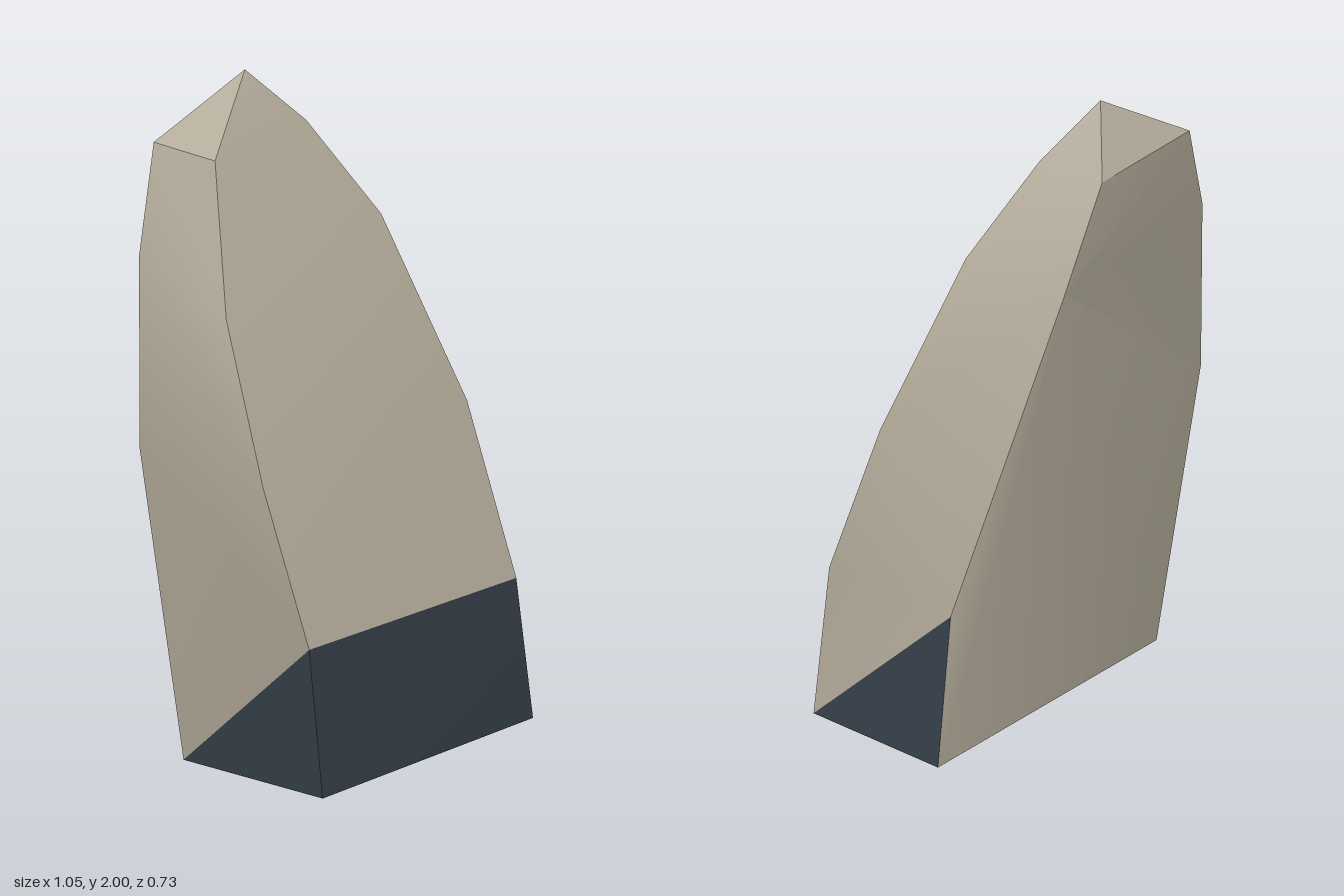
import * as THREE from 'three';
import { toCreasedNormals } from 'three/addons/utils/BufferGeometryUtils.js';

// Corner points: bottom corners, front rim on each side, back rim on each side, tip
const P = {
  baseFL: [0.50, 0, 0.355], baseFR: [-0.44, 0, 0.36],
  baseBL: [0.525, 0, -0.12], baseBR: [-0.44, 0, -0.17],
  // front rim, -x side, upwards
  r1: [-0.50, 0.47, 0.36], r2: [-0.53, 0.94, 0.21], r3: [-0.46, 1.39, 0.01], r4: [-0.335, 1.81, -0.14],
  // front rim, +x side, upwards
  l1: [0.42, 0.45, 0.36], l2: [0.40, 0.96, 0.19], l3: [0.24, 1.53, 0.0], l4: [0.07, 1.83, -0.14],
  // back rim, -x side, upwards
  br2: [-0.495, 0.94, -0.29], br3: [-0.457, 1.51, -0.325], br4: [-0.345, 1.82, -0.365],
  // back rim, +x side, upwards
  bl1: [0.51, 0.51, -0.155], bl3: [0.23, 1.53, -0.355], bl4: [0.06, 1.83, -0.36],
  tip: [-0.08, 2.0, -0.245],
};
const inside = new THREE.Vector3(0, 0.8, 0);

// Faces are space-separated corner names; each is fanned and turned outward
function facets(name, material, faces) {
  const positions = [];
  for (const face of faces) {
    const pts = face.split(' ').map((key) => new THREE.Vector3(...P[key]));
    for (let i = 1; i < pts.length - 1; i++) {
      const tri = new THREE.Triangle(pts[0], pts[i], pts[i + 1]);
      const normal = tri.getNormal(new THREE.Vector3());
      const outward = normal.dot(pts[0].clone().sub(inside)) > 0;
      const order = outward ? [tri.a, tri.b, tri.c] : [tri.a, tri.c, tri.b];
      for (const p of order) positions.push(p.x, p.y, p.z);
    }
  }
  const geometry = new THREE.BufferGeometry();
  geometry.setAttribute('position', new THREE.Float32BufferAttribute(positions, 3));
  const mesh = new THREE.Mesh(toCreasedNormals(geometry, 0.5), material);
  mesh.name = name;
  return mesh;
}

export function createModel() {
  const stone = new THREE.MeshStandardMaterial({ color: 0xb5ad9c });
  stone.name = 'tan stone';
  const dark = new THREE.MeshStandardMaterial({ color: 0x39434d });
  dark.name = 'dark slate';

  const group = new THREE.Group();
  group.name = 'pointedStone';

  // Sloping front
  group.add(facets('frontFace', stone, [
    'r1 l1 l2 r2', 'r2 l2 l3 r3', 'r3 l3 l4 r4', 'r4 l4 tip',
  ]));
  // Side on +x, up to the tip
  group.add(facets('leftSide', stone, [
    'baseFL bl1 l1', 'l1 bl1 l2', 'l2 bl1 bl3 l3', 'l3 bl3 bl4 l4', 'l4 bl4 tip',
  ]));
  // Side on -x
  group.add(facets('rightSide', stone, [
    'baseBR br2 r1', 'r1 br2 r2', 'r2 br2 br3', 'r2 br3 r3', 'r3 br3 br4 r4',
  ]));
  // Leaning back
  group.add(facets('backFace', stone, [
    'bl3 bl1 baseBL', 'bl3 baseBL baseBR br2 br3 br4 bl4',
  ]));
  // Small facets behind the tip
  group.add(facets('tipFacets', stone, ['tip bl4 br4', 'tip br4 r4']));
  // Dark cut at the foot
  group.add(facets('darkFoot', dark, [
    'baseFR baseFL l1 r1', 'baseFL baseBL bl1', 'baseFR baseBR r1', 'baseFR baseFL baseBL baseBR',
  ]));
  return group;
}
